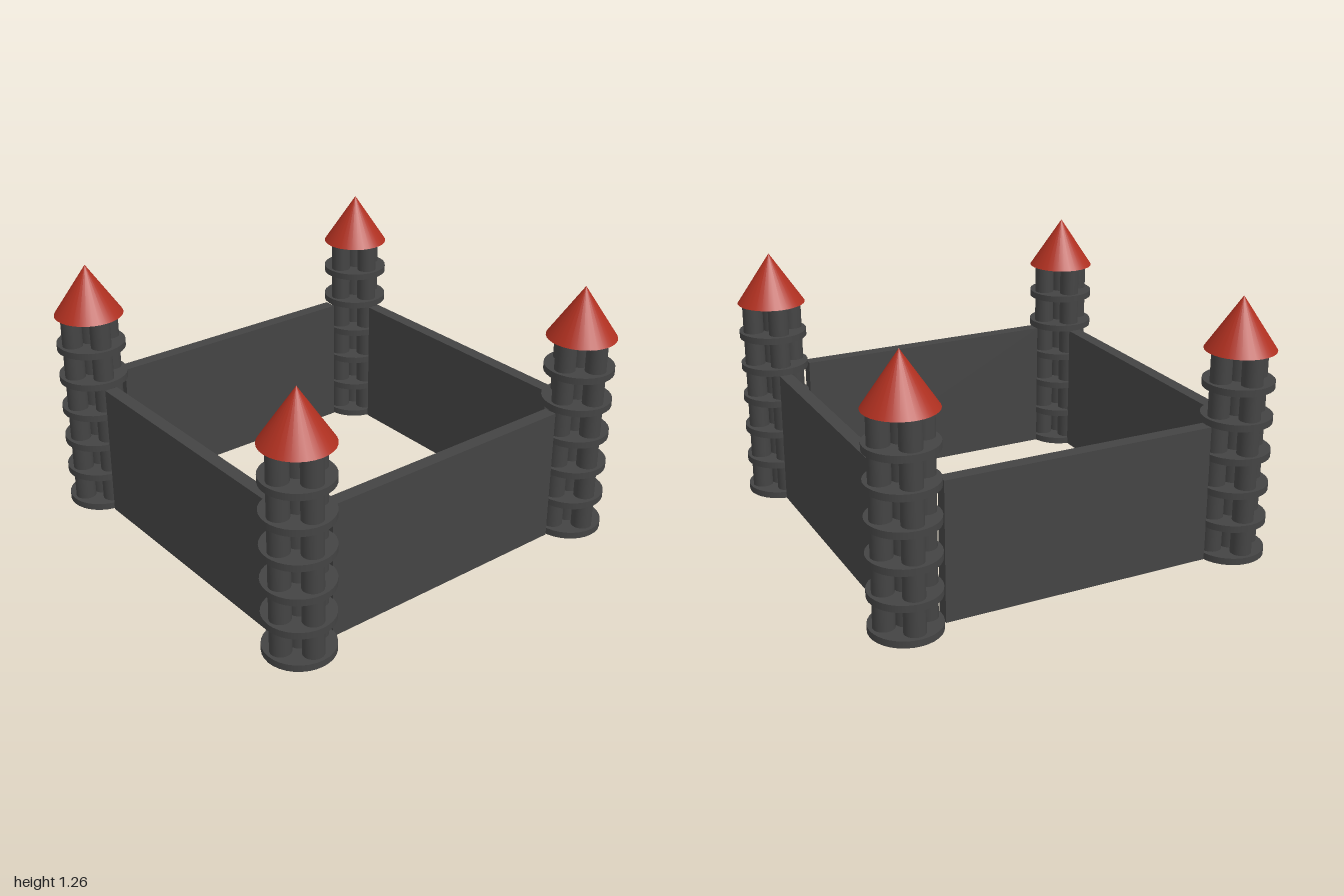
import * as THREE from 'three';

const stone = new THREE.MeshStandardMaterial({ color: 0x444444 });
const tile = new THREE.MeshStandardMaterial({ color: 0xb03020 });

const TOWER = 0.833; // tower offset from the centre
const STEP = 1 / 6; // height of one storey
const DISC = 0.033;

function add(parent, name, geometry, material, x, y, z) {
  const mesh = new THREE.Mesh(geometry, material);
  mesh.name = name;
  mesh.position.set(x, y, z);
  parent.add(mesh);
  return mesh;
}

function createTower() {
  const tower = new THREE.Group();
  const disc = new THREE.CylinderGeometry(0.167, 0.167, DISC, 32);
  const shaft = STEP - DISC;
  const column = new THREE.CylinderGeometry(0.05, 0.05, shaft, 32);

  // Six storeys: a floor disc carrying a core and four columns
  for (let i = 0; i < 6; i++) {
    const base = i * STEP;
    const mid = base + DISC + shaft / 2;
    add(tower, 'floorDisc', disc, stone, 0, base + DISC / 2, 0);
    add(tower, 'coreColumn', column, stone, 0, mid, 0);
    for (let k = 0; k < 4; k++) {
      const a = (k * Math.PI) / 2;
      add(tower, 'column', column, stone, 0.1 * Math.cos(a), mid, 0.1 * Math.sin(a));
    }
  }

  // Conical roof, just clear of the columns
  add(tower, 'roof', new THREE.ConeGeometry(0.167, 0.25, 32), tile, 0, 1.133, 0);
  return tower;
}

export function createModel() {
  const castle = new THREE.Group();
  castle.name = 'castle';

  // Corner towers
  for (const sx of [-1, 1]) {
    for (const sz of [-1, 1]) {
      const tower = createTower();
      tower.name = (sz > 0 ? 'front' : 'back') + (sx > 0 ? 'Left' : 'Right') + 'Tower';
      tower.position.set(sx * TOWER, 0, sz * TOWER);
      castle.add(tower);
    }
  }

  // Curtain walls between the towers, set very slightly off centre
  const height = 0.667, length = 1.333, thick = 0.065;
  const across = new THREE.BoxGeometry(length, height, thick);
  const along = new THREE.BoxGeometry(thick, height, length);
  for (const s of [-1, 1]) {
    add(castle, s > 0 ? 'frontWall' : 'backWall', across, stone, -0.005, height / 2, s * TOWER - 0.004);
    add(castle, s > 0 ? 'leftWall' : 'rightWall', along, stone, s * TOWER - 0.004, height / 2, 0.005);
  }
  return castle;
}
